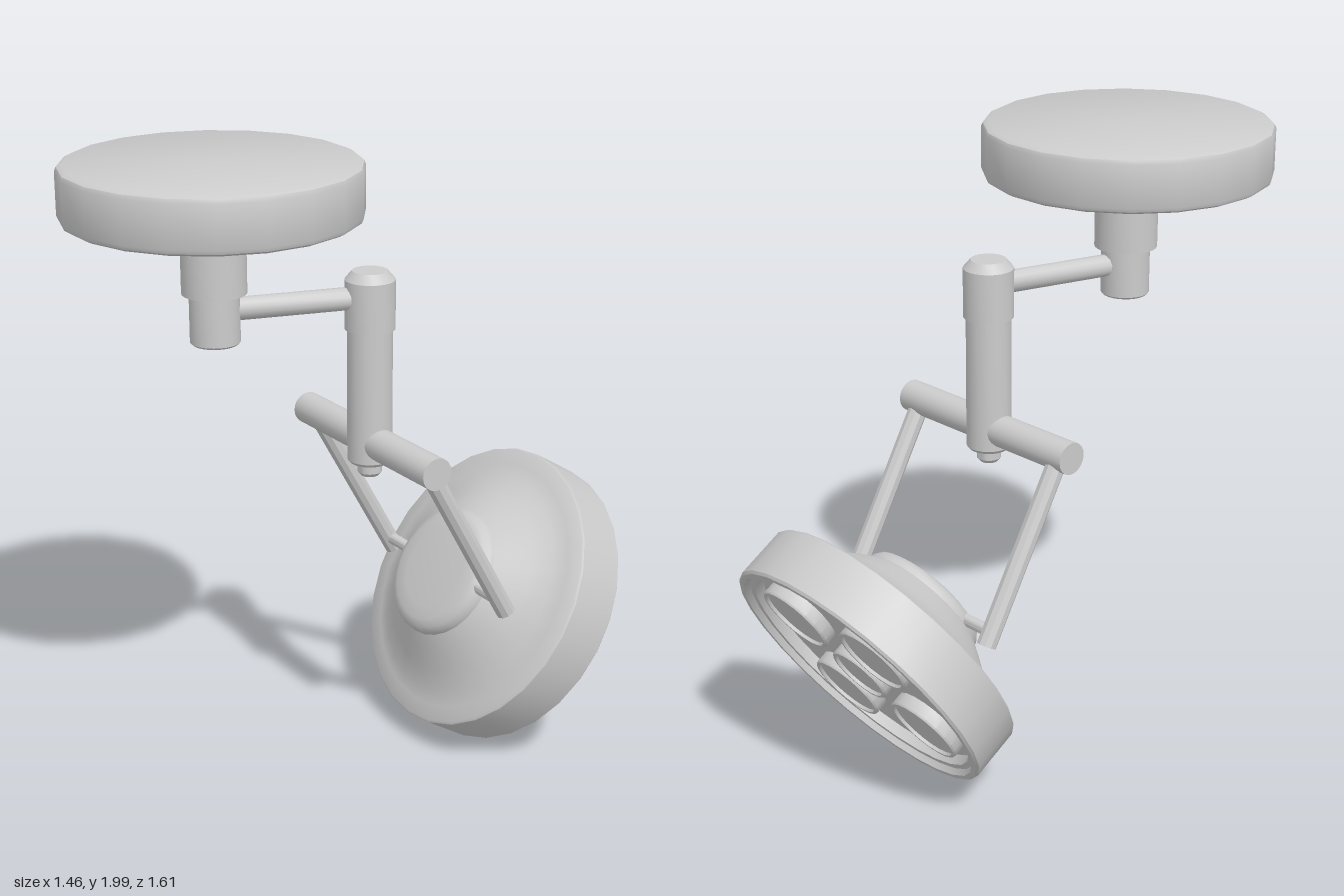
import * as THREE from 'three';
import { toCreasedNormals } from 'three/addons/utils/BufferGeometryUtils.js';

export function createModel() {
  const model = new THREE.Group();
  model.name = 'ceilingLamp';
  const material = new THREE.MeshStandardMaterial({ color: 0xcccccc });

  const add = (parent, name, geometry) => {
    const mesh = new THREE.Mesh(toCreasedNormals(geometry, 0.6), material);
    mesh.name = name;
    parent.add(mesh);
    return mesh;
  };
  // Turned part from [radius, height] pairs, listed bottom to top on the outside
  const turned = (parent, name, profile, sides = 24) =>
    add(parent, name, new THREE.LatheGeometry(profile.map(([r, y]) => new THREE.Vector2(r, y)), sides));
  // Round rod between two points
  const rod = (parent, name, from, to, radius, sides = 20) => {
    const a = new THREE.Vector3(...from), b = new THREE.Vector3(...to);
    const mesh = add(parent, name, new THREE.CylinderGeometry(radius, radius, a.distanceTo(b), sides));
    mesh.position.copy(a).add(b).multiplyScalar(0.5);
    mesh.quaternion.setFromUnitVectors(new THREE.Vector3(0, 1, 0), b.sub(a).normalize());
    return mesh;
  };

  // Ceiling plate and its stepped stem
  const mount = new THREE.Group();
  mount.name = 'ceilingMount';
  mount.position.set(-0.287, 0, 0.36);
  model.add(mount);
  turned(mount, 'ceilingPlate', [[0, 1.83], [0.43, 1.83], [0.445, 1.838], [0.45, 1.85],
    [0.45, 1.98], [0.445, 1.992], [0.43, 2], [0, 2]], 20);
  turned(mount, 'stem', [[0, 1.45], [0.07, 1.45], [0.076, 1.456], [0.076, 1.605],
    [0.098, 1.605], [0.098, 1.84], [0, 1.84]]);

  // Side arm from the stem to the post
  rod(model, 'sideArm', [-0.287, 1.55, 0.36], [0.037, 1.55, 0], 0.035, 12);

  // Everything below swings about the post
  const swing = new THREE.Group();
  swing.name = 'swingAssembly';
  swing.position.set(0.037, 0, 0);
  swing.rotation.y = -0.472;
  model.add(swing);
  turned(swing, 'post', [[0, 0.975], [0.028, 0.975], [0.038, 0.987], [0.038, 1.02], [0.062, 1.02],
    [0.07, 1.03], [0.07, 1.45], [0.078, 1.45], [0.078, 1.605], [0.055, 1.632], [0, 1.632]]);
  rod(swing, 'crossbar', [-0.365, 1.09, 0], [0.365, 1.09, 0], 0.051);

  // Fork arms and pivot pins
  for (const side of [-1, 1]) {
    const x = side * 0.315;
    rod(swing, 'forkArm', [x, 1.09, 0], [x, 0.55, -0.305], 0.031, 10);
    rod(swing, 'pivotPin', [x, 0.59, -0.285], [side * 0.1, 0.59, -0.285], 0.019, 12);
  }

  // Tilted lamp head: local +y points to the hub, the lenses face -y
  const head = new THREE.Group();
  head.name = 'lampHead';
  head.position.set(0, 0.408, -0.558);
  head.rotation.x = THREE.MathUtils.degToRad(58);
  swing.add(head);
  turned(head, 'shade', [[0, 0.055], [0.42, 0.055], [0.425, 0.02], [0.445, 0.02], [0.453, 0],
    [0.47, 0], [0.477, 0.008], [0.477, 0.175], [0.47, 0.181], [0.42, 0.187], [0.37, 0.206],
    [0.31, 0.243], [0.255, 0.284], [0.215, 0.312], [0.212, 0.328], [0.2, 0.345], [0.175, 0.355],
    [0.13, 0.359], [0, 0.36]], 28);

  // Lenses: one in the middle, four around it, each with a raised lip
  const lens = (x, z, r) => {
    const mesh = turned(head, 'lens', [[0, 0.02], [r - 0.014, 0.02], [r - 0.012, 0.01],
      [r - 0.004, 0.01], [r, 0.016], [r, 0.06]], 20);
    mesh.position.set(x, 0, z);
  };
  lens(0, 0, 0.105);
  for (let i = 0; i < 4; i++) {
    const a = Math.PI / 4 + (i * Math.PI) / 2;
    lens(0.26 * Math.cos(a), 0.26 * Math.sin(a), 0.127);
  }

  return model;
}
